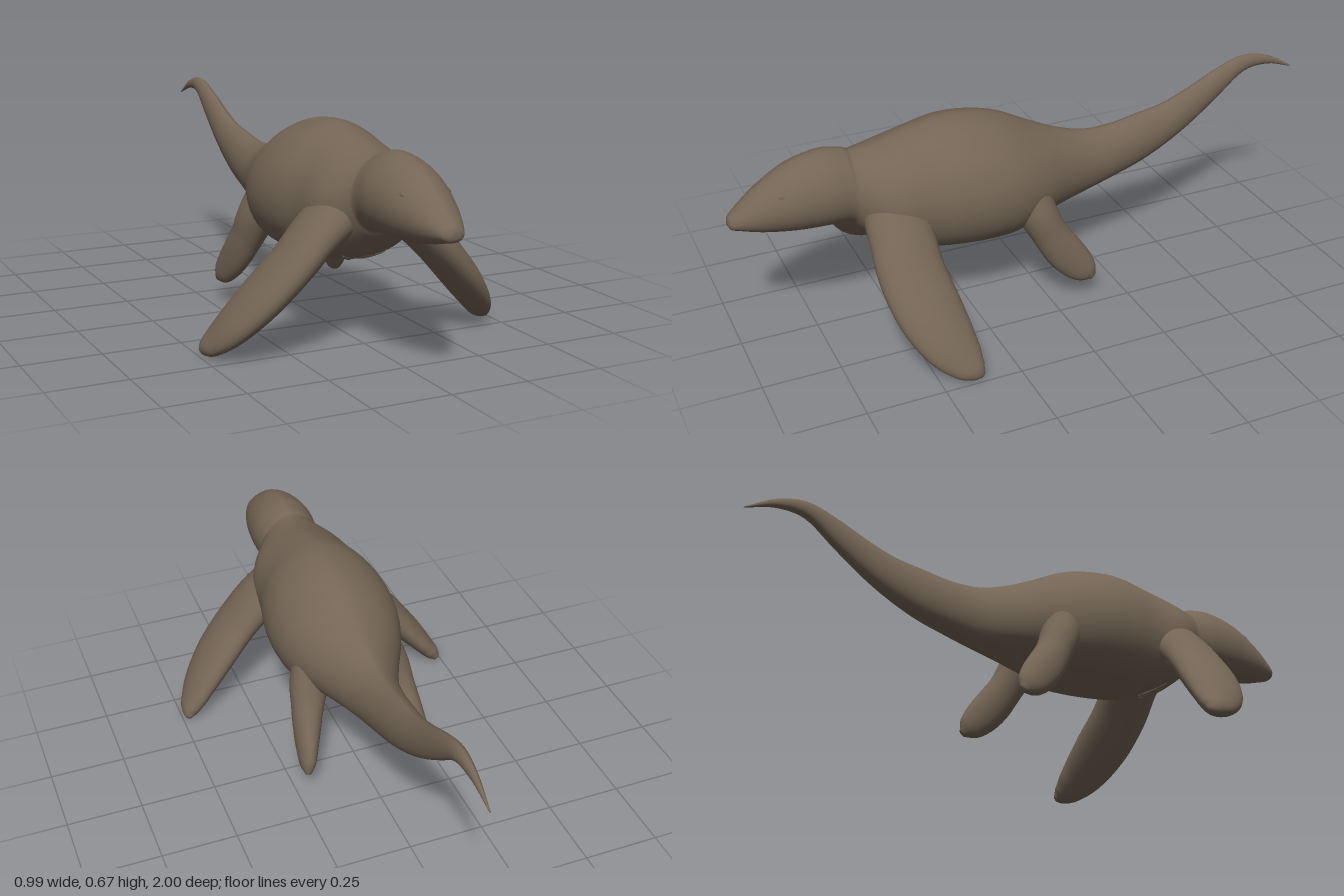
import * as THREE from 'three';

const skin = new THREE.MeshStandardMaterial({ color: 0x746555 });
skin.name = 'brown skin';

// Loft through sections, smooth and closed at both ends.
// Sizes hold the half width along u and the extents along +v and -v.
// frame(tangent) gives [u, v] with u x v pointing along the path.
// Powers below 1 make a half boxier, above 1 make it more pointed.
function loft(centres, sizes, frame, steps, sides, powTop = 1, powLow = 1) {
  const path = new THREE.CatmullRomCurve3(centres, false, 'catmullrom', 0.5);
  const size = new THREE.CatmullRomCurve3(sizes, false, 'catmullrom', 0.5);
  const pos = [], idx = [];
  const bend = (n, p) => Math.sign(n) * Math.pow(Math.abs(n), p);
  for (let i = 0; i <= steps; i++) {
    const c = path.getPoint(i / steps), s = size.getPoint(i / steps);
    const [u, v] = frame(path.getTangent(i / steps));
    for (let j = 0; j < sides; j++) {
      const a = (j / sides) * Math.PI * 2;
      const up = Math.sin(a) > 0;
      const p = c.clone()
        .addScaledVector(u, Math.max(s.x, 0.001) * bend(Math.cos(a), up ? powTop : powLow))
        .addScaledVector(v, Math.max(up ? s.y : s.z, 0.001) * Math.sin(a));
      pos.push(p.x, p.y, p.z);
      if (i < steps) {
        const k = i * sides, n = (j + 1) % sides;
        idx.push(k + j, k + n, k + sides + j, k + n, k + sides + n, k + sides + j);
      }
    }
  }
  // End caps
  const first = pos.length / 3, last = steps * sides;
  for (const c of [path.getPoint(0), path.getPoint(1)]) pos.push(c.x, c.y, c.z);
  for (let j = 0; j < sides; j++) {
    const n = (j + 1) % sides;
    idx.push(first, n, j, first + 1, last + j, last + n);
  }
  const g = new THREE.BufferGeometry();
  g.setAttribute('position', new THREE.Float32BufferAttribute(pos, 3));
  g.setIndex(idx);
  g.computeVertexNormals();
  return g;
}

function addMesh(group, name, geometry) {
  const mesh = new THREE.Mesh(geometry, skin);
  mesh.name = name;
  group.add(mesh);
  return mesh;
}

// Flipper sections: x, y, z, half chord, half thickness
function flipper(rows, side, chord) {
  const centres = rows.map(([x, y, z]) => new THREE.Vector3(x * side, y, z));
  const sizes = rows.map(r => new THREE.Vector3(r[3], r[4], r[4]));
  const frame = w => {
    const u = chord.clone().addScaledVector(w, -chord.dot(w)).normalize();
    return [u, w.clone().cross(u)];
  };
  return loft(centres, sizes, frame, 40, 28);
}

export function createModel() {
  const model = new THREE.Group();
  model.name = 'marineReptile';

  // Tail, trunk, neck and head: z, top, bottom, half width
  const body = [
    [-1, 0.597, 0.593, 0.002], [-0.9, 0.653, 0.622, 0.012], [-0.8, 0.67, 0.612, 0.021],
    [-0.7, 0.638, 0.535, 0.029], [-0.6, 0.59, 0.46, 0.037], [-0.5, 0.55, 0.4, 0.046],
    [-0.4, 0.53, 0.355, 0.056], [-0.3, 0.512, 0.325, 0.066], [-0.2, 0.512, 0.3, 0.082],
    [-0.1, 0.54, 0.285, 0.12], [0, 0.585, 0.27, 0.17], [0.1, 0.635, 0.238, 0.207],
    [0.2, 0.66, 0.234, 0.22], [0.3, 0.667, 0.238, 0.212], [0.4, 0.65, 0.25, 0.19],
    [0.5, 0.625, 0.28, 0.18], [0.56, 0.614, 0.32, 0.152], [0.605, 0.612, 0.36, 0.117],
    [0.63, 0.622, 0.385, 0.11], [0.7, 0.631, 0.388, 0.114], [0.8, 0.608, 0.392, 0.103],
    [0.9, 0.55, 0.405, 0.075], [0.97, 0.492, 0.422, 0.045], [0.992, 0.472, 0.428, 0.03],
    [1, 0.458, 0.438, 0.012],
  ];
  const axes = [new THREE.Vector3(1, 0, 0), new THREE.Vector3(0, 1, 0)];
  const widest = 0.45; // height of the widest line within each section
  addMesh(model, 'body', loft(
    body.map(([z, top, low]) => new THREE.Vector3(0, low + (top - low) * widest, z)),
    body.map(([, top, low, w]) =>
      new THREE.Vector3(w, (top - low) * (1 - widest), (top - low) * widest)),
    () => axes, 120, 48, 1.22, 0.8));

  // The first sections lie inside the trunk and swell into shoulders and hips
  const front = [
    [0.06, 0.45, 0.495, 0.1, 0.085], [0.12, 0.405, 0.5, 0.105, 0.074],
    [0.18, 0.355, 0.505, 0.105, 0.064], [0.25, 0.28, 0.505, 0.107, 0.057],
    [0.33, 0.193, 0.485, 0.107, 0.053], [0.4, 0.113, 0.452, 0.092, 0.045],
    [0.447, 0.057, 0.415, 0.066, 0.034], [0.471, 0.029, 0.388, 0.038, 0.025],
    [0.482, 0.014, 0.37, 0.01, 0.009],
  ];
  const rear = [
    [0.09, 0.43, 0.07, 0.08, 0.08], [0.14, 0.33, 0.035, 0.066, 0.068],
    [0.163, 0.255, 0, 0.06, 0.055], [0.181, 0.19, -0.04, 0.063, 0.045],
    [0.195, 0.14, -0.08, 0.058, 0.035], [0.206, 0.103, -0.115, 0.042, 0.025],
    [0.213, 0.08, -0.137, 0.012, 0.009],
  ];
  for (const side of [1, -1]) {
    const label = side > 0 ? 'left' : 'right';
    addMesh(model, label + 'FrontFlipper', flipper(front, side, new THREE.Vector3(0, 0, 1)));
    addMesh(model, label + 'RearFlipper', flipper(rear, side, new THREE.Vector3(0, -0.6, 0.8)));
    // Shallow bulge of the eye
    const eye = addMesh(model, label + 'Eye', new THREE.SphereGeometry(0.013, 20, 14));
    eye.scale.set(0.6, 0.8, 1.3);
    eye.position.set(0.072 * side, 0.535, 0.835);
  }

  // Skin folds fanning out on the chest
  for (let i = -2; i <= 2; i++) {
    const fold = addMesh(model, 'chestFold', new THREE.SphereGeometry(1, 12, 8));
    fold.scale.set(0.006, 0.006, 0.045);
    fold.position.set(i * 0.022, 0.27, 0.465);
    fold.rotation.set(-0.35, i * 0.4, 0, 'YXZ');
  }
  return model;
}
